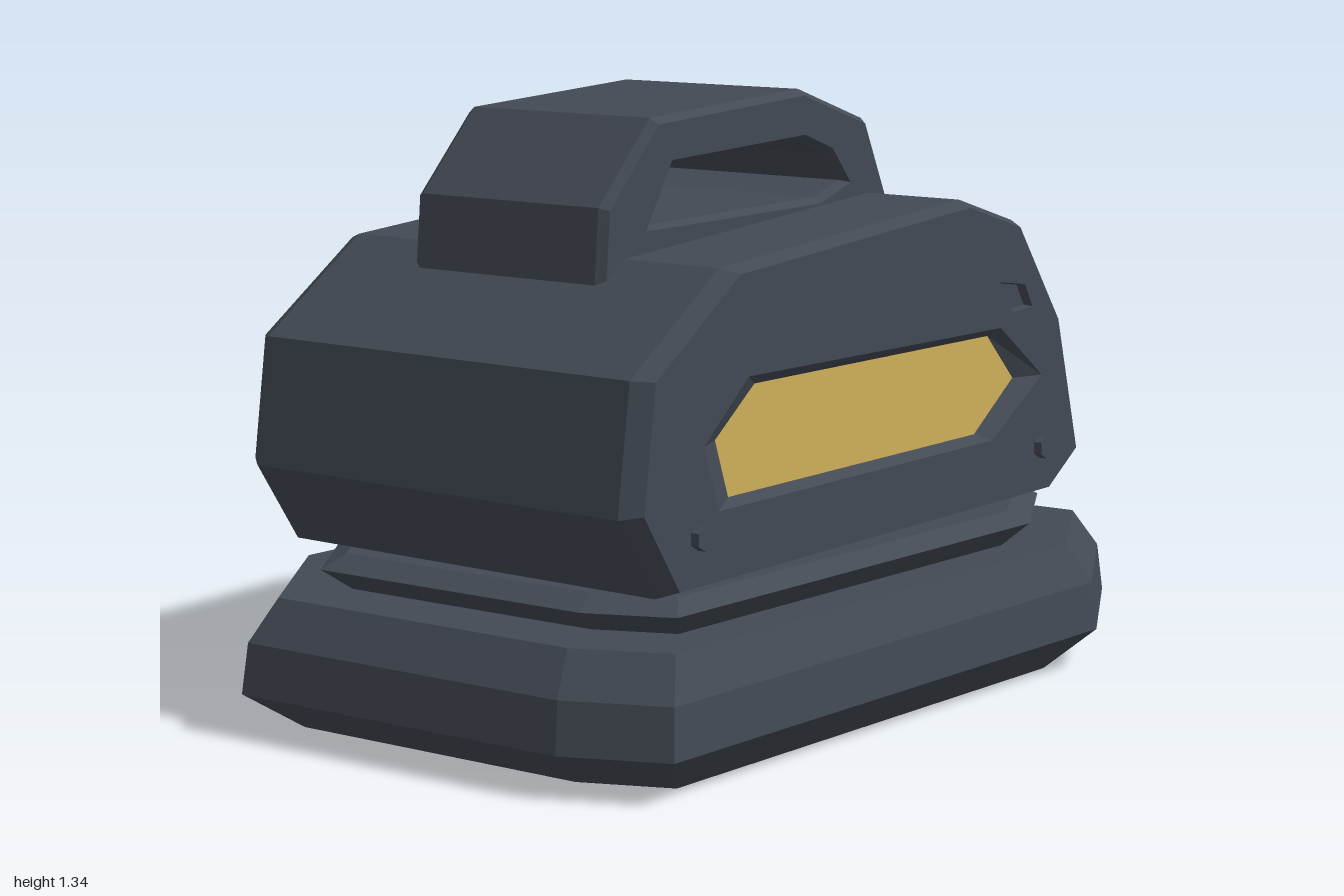
import * as THREE from 'three';

const slate = new THREE.MeshStandardMaterial({ color: 0x434a54 });
slate.name = 'darkSlate';
const gold = new THREE.MeshStandardMaterial({ color: 0xd0b05a });
gold.name = 'goldPanel';

const toVectors = (pts) => pts.map(([x, y]) => new THREE.Vector2(x, y));
const scaled = (pts, s, cx = 0, cy = 0) => pts.map(([x, y]) => [cx + (x - cx) * s, cy + (y - cy) * s]);

// Flat-shaded walls through rings [outline, z]; rising z faces outward, falling z inward
function walls(rings) {
  const pos = [];
  for (let r = 0; r + 1 < rings.length; r++) {
    const [p, z0] = rings[r];
    const [q, z1] = rings[r + 1];
    for (let i = 0; i < p.length; i++) {
      const j = (i + 1) % p.length;
      const a = [...p[i], z0], b = [...p[j], z0], c = [...q[j], z1], d = [...q[i], z1];
      pos.push(...a, ...b, ...c, ...a, ...c, ...d);
    }
  }
  const g = new THREE.BufferGeometry();
  g.setAttribute('position', new THREE.Float32BufferAttribute(pos, 3));
  g.computeVertexNormals();
  return g;
}

// Flat face at height z, looking along +z, or along -z when back is true
function face(outline, z, holes = [], back = false) {
  const turn = (pts) => toVectors(back ? pts.map(([x, y]) => [-x, y]) : pts);
  const shape = new THREE.Shape(turn(outline));
  holes.forEach((h) => shape.holes.push(new THREE.Path(turn(h))));
  const g = new THREE.ShapeGeometry(shape);
  if (back) g.rotateY(Math.PI);
  return g.translate(0, 0, z);
}

function add(parent, name, geometry, material = slate) {
  const m = new THREE.Mesh(geometry, material);
  m.name = name;
  parent.add(m);
  return m;
}

// Closed solid stacked upward from a plan outline: layers of [scale, y]
function stack(parent, name, plan, layers) {
  const g = new THREE.Group();
  g.name = name;
  const rings = layers.map(([s, y]) => [scaled(plan, s), y]);
  const last = rings[rings.length - 1];
  add(g, name + 'Sides', walls(rings));
  add(g, name + 'Top', face(last[0], last[1]));
  add(g, name + 'Bottom', face(rings[0][0], rings[0][1], [], true));
  g.rotation.x = -Math.PI / 2;
  parent.add(g);
}

export function createModel() {
  const model = new THREE.Group();
  model.name = 'handledDevice';

  // Irregular plinth and collar, plan given as (x, -z)
  const plan = [[1, -0.49], [0.95, 0.34], [0.69, 0.65], [-0.62, 0.70],
    [-1, 0.43], [-0.97, -0.41], [-0.87, -0.63], [0.62, -0.70]];
  stack(model, 'base', plan, [[0.87, 0], [1, 0.09], [0.985, 0.2], [0.92, 0.29]]);
  stack(model, 'collar', plan, [[0.755, 0.285], [0.83, 0.34], [0.775, 0.37]]);

  // Body with chamfered front and back rims
  const body = new THREE.Group();
  body.name = 'body';
  model.add(body);
  const outline = [[0.75, 0.37], [0.875, 0.45], [0.78, 0.78], [0.60, 1.02], [0.38, 1.085],
    [-0.51, 1.02], [-0.80, 0.825], [-0.84, 0.55], [-0.72, 0.37]];
  const rim = scaled(outline, 0.96, 0.02, 0.72);
  const front = 0.505, rear = -0.57, depth = 0.03;
  add(body, 'bodyShell', walls([[rim, rear], [outline, rear + 0.04], [outline, front - 0.04], [rim, front]]));

  // Recess openings and their floors
  const windowRim = [[0.47, 0.53], [0.68, 0.655], [0.50, 0.785], [-0.46, 0.795], [-0.61, 0.67], [-0.56, 0.53]];
  const windowFloor = [[0.44, 0.545], [0.60, 0.655], [0.49, 0.765], [-0.40, 0.77], [-0.535, 0.67], [-0.49, 0.545]];
  const notch = [[0.56, 0.815], [0.635, 0.82], [0.60, 0.875], [0.495, 0.89], [0.49, 0.845]];
  const notchFloor = scaled(notch, 0.9, 0.56, 0.85);

  add(body, 'frontFace', face(rim, front, [windowRim, notch]));
  add(body, 'backFace', face(rim, rear, [windowRim], true));
  add(body, 'frontRecess', walls([[windowRim, front], [windowFloor, front - depth]]));
  add(body, 'frontPanel', face(windowFloor, front - depth), gold);
  add(body, 'backRecess', walls([[windowFloor, rear + depth], [windowRim, rear]]));
  add(body, 'backPanel', face(windowFloor, rear + depth, [], true));
  add(body, 'notchWalls', walls([[notch, front], [notchFloor, front - 0.02]]));
  add(body, 'notchFloor', face(notchFloor, front - 0.02));

  // Hexagonal bolts on the front
  for (const x of [-0.63, 0.675]) {
    const bolt = new THREE.CylinderGeometry(0.027, 0.027, 0.02, 6).toNonIndexed();
    bolt.computeVertexNormals();
    bolt.rotateX(Math.PI / 2);
    add(body, 'bolt', bolt).position.set(x, 0.487, front + 0.01);
  }

  // Carrying handle with a through opening
  const handle = new THREE.Shape(toVectors([[0.48, 1.03], [0.375, 1.255], [0.13, 1.335],
    [-0.40, 1.305], [-0.57, 1.13], [-0.585, 0.95]]));
  handle.holes.push(new THREE.Path(toVectors([[-0.42, 1.08], [-0.34, 1.20], [0.13, 1.22],
    [0.23, 1.185], [0.29, 1.12], [0.19, 1.09]])));
  const handleGeometry = new THREE.ExtrudeGeometry(handle, {
    depth: 0.485, bevelEnabled: true, bevelThickness: 0.02, bevelSize: 0.014, bevelOffset: -0.014, bevelSegments: 1,
  });
  add(model, 'handle', handleGeometry.translate(0, 0, -0.285));

  return model;
}
